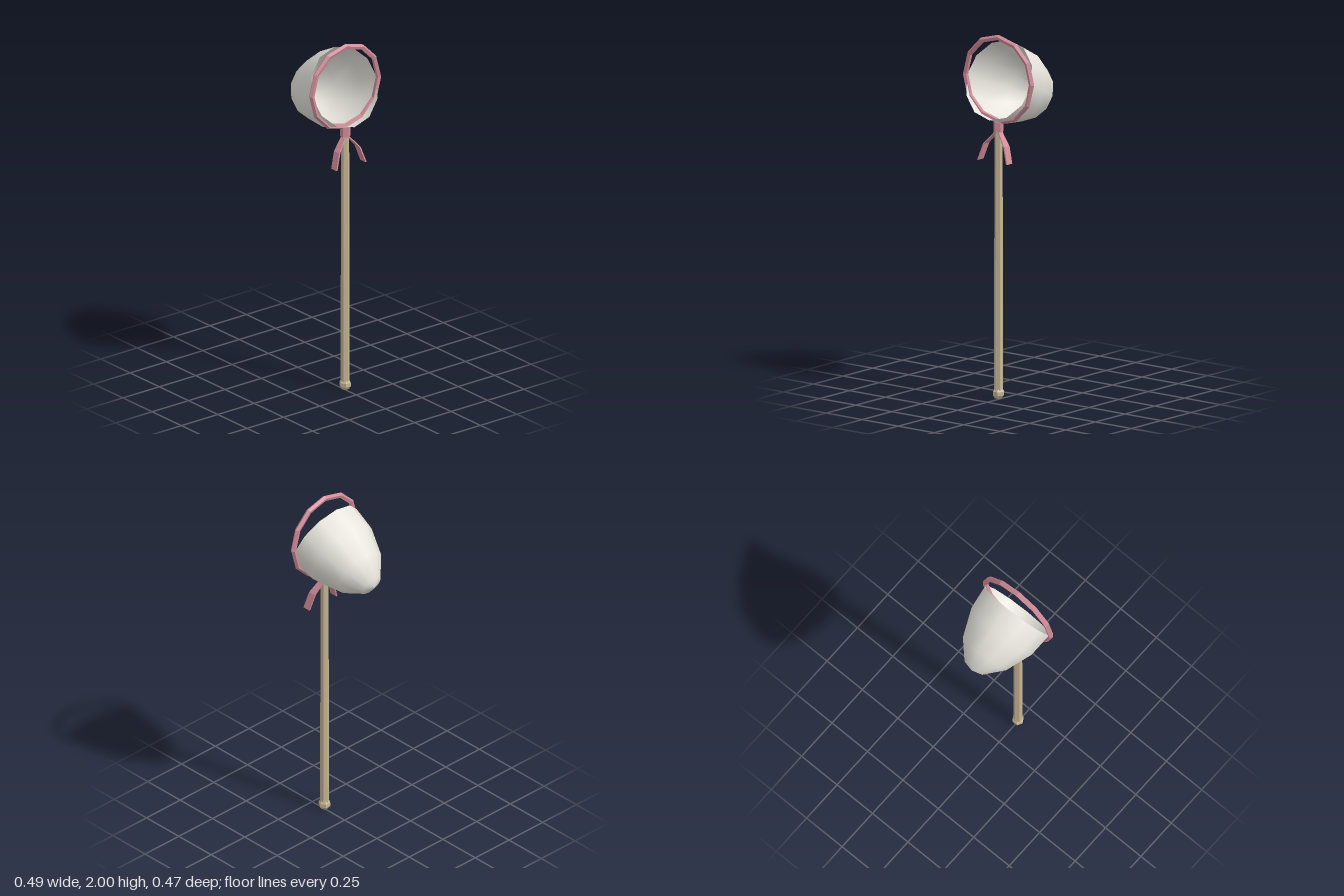
import * as THREE from 'three';

const mat = (color, flatShading, side = THREE.FrontSide) =>
  new THREE.MeshStandardMaterial({ color, flatShading, side });

export function createModel() {
  const group = new THREE.Group();
  const wood = mat(0xc8b796, true);
  const pink = mat(0xd08c98, true);
  const ribbonPink = mat(0xd08c98, true, THREE.DoubleSide);
  const cloth = mat(0xe6e4dc, false, THREE.DoubleSide);
  const Z = 0.155; // plane of the hoop and handle

  const add = (name, geometry, material, x, y, z) => {
    const mesh = new THREE.Mesh(geometry, material);
    mesh.name = name;
    mesh.position.set(x, y, z);
    group.add(mesh);
    return mesh;
  };

  // Handle with a round end knob
  add('handle', new THREE.CylinderGeometry(0.022, 0.025, 1.5, 6), wood, 0, 0.78, Z);
  add('handleKnob', new THREE.SphereGeometry(0.034, 6, 5), wood, 0, 0.034, Z);

  // Twelve-sided hoop and the collar joining it to the handle
  add('hoop', new THREE.TorusGeometry(0.2305, 0.0155, 5, 12), pink, 0, 1.755, Z);
  add('collar', new THREE.CylinderGeometry(0.028, 0.028, 0.055, 6), pink, 0, 1.498, Z);

  // Net bag: a lathe whose open rim is tilted across the hoop
  const profile = [[0, 0.408], [0.062, 0.39], [0.151, 0.289], [0.21, 0.139], [0.222, 0]]
    .map(([r, d]) => new THREE.Vector2(r, d));
  const bag = add('netBag', new THREE.LatheGeometry(profile, 12), cloth, 0, 1.75, 0.15);
  bag.quaternion.setFromUnitVectors(
    new THREE.Vector3(0, 1, 0), new THREE.Vector3(0, -0.383, -0.924).normalize());

  // Two ribbon tails: thin strips swept through [x, y, back z, front z]
  const stations = [
    [0.005, 1.477, 0.14, 0.17], [0.07, 1.4, 0.152, 0.197], [0.1, 1.31, 0.165, 0.21],
  ];
  for (const side of [1, -1]) {
    const pos = [], index = [];
    const t = 0.004;
    stations.forEach(([x, y, z0, z1], i) => {
      for (const [dx, z] of [[-t, z0], [t, z0], [t, z1], [-t, z1]]) pos.push(side * (x + dx), y, z);
      if (!i) return;
      for (let k = 0; k < 4; k++) {
        const a = (i - 1) * 4 + k, b = (i - 1) * 4 + (k + 1) % 4;
        index.push(a, b, a + 4, b, b + 4, a + 4);
      }
    });
    index.push(8, 9, 10, 8, 10, 11); // cut end
    const strip = new THREE.BufferGeometry();
    strip.setAttribute('position', new THREE.Float32BufferAttribute(pos, 3));
    strip.setIndex(index);
    strip.computeVertexNormals();
    add(side > 0 ? 'leftRibbon' : 'rightRibbon', strip, ribbonPink, 0, 0, 0);
  }

  return group;
}
